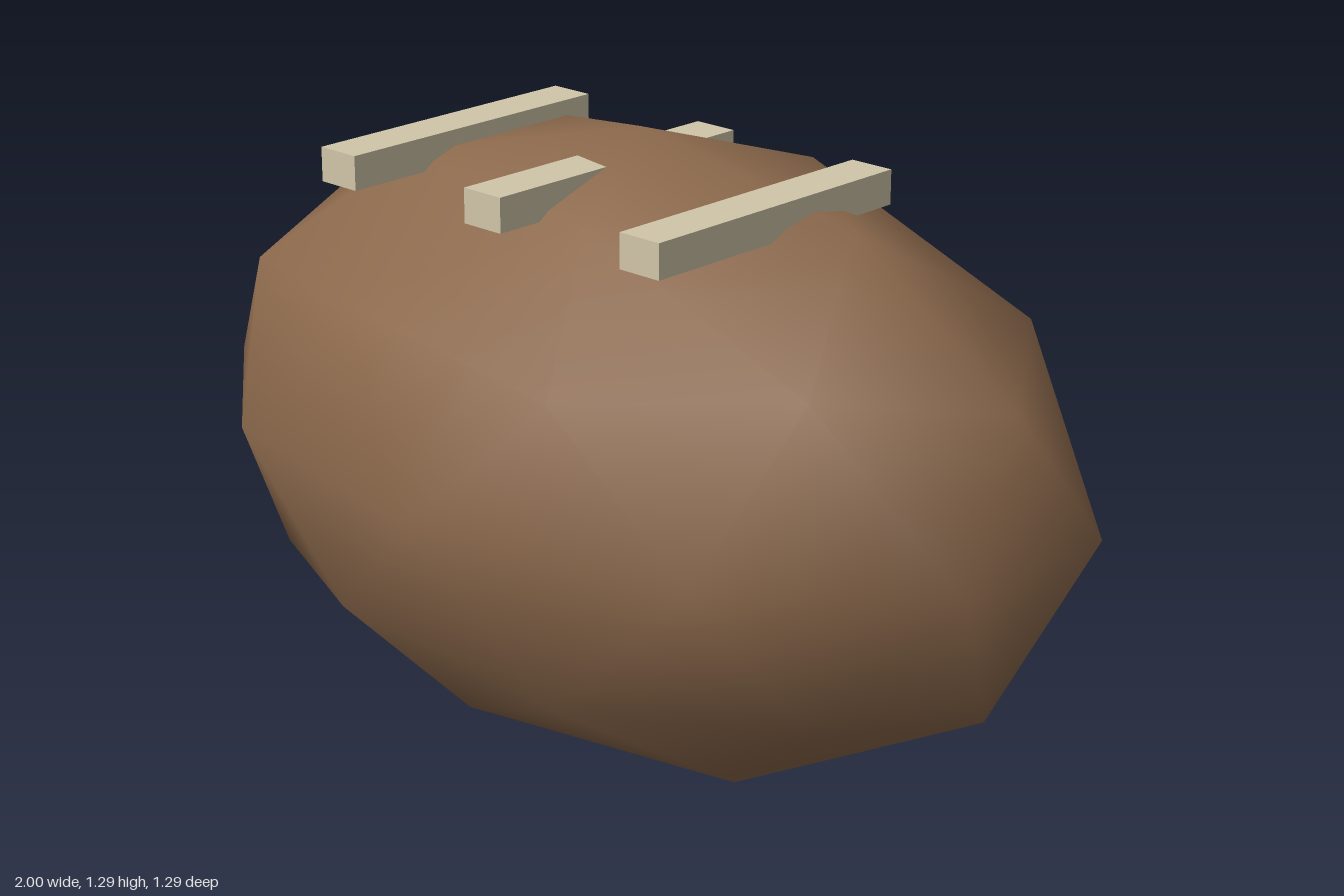
import * as THREE from 'three';

const brown = new THREE.MeshStandardMaterial({ color: 0x8c694c });
brown.name = 'brown leather';
const cream = new THREE.MeshStandardMaterial({ color: 0xd0c5a8 });
cream.name = 'cream lace';

// Icosahedron standing on a vertex, split once: a smooth 42-point ball
function createBall() {
  const verts = [0, 1, 0];
  const faces = [];
  const h = 1 / Math.sqrt(5), r = 2 * h;
  for (const [y, offset] of [[h, 0], [-h, Math.PI / 5]]) {
    for (let k = 0; k < 5; k++) {
      const a = offset + (k * 2 * Math.PI) / 5;
      verts.push(r * Math.cos(a), y, r * Math.sin(a));
    }
  }
  verts.push(0, -1, 0);
  for (let k = 0; k < 5; k++) {
    const next = (k + 1) % 5, prev = (k + 4) % 5;
    const upper = 1 + k, lower = 6 + k;
    faces.push(0, 1 + next, upper);
    faces.push(upper, 1 + next, lower);
    faces.push(lower, 6 + prev, upper);
    faces.push(11, lower, 6 + next);
  }
  return new THREE.PolyhedronGeometry(verts, faces, 1, 1);
}

export function createModel() {
  const group = new THREE.Group();
  group.name = 'ball';

  // Elongated leather body
  const geometry = createBall();
  geometry.scale(1.0515, 0.647, 0.647);
  const body = new THREE.Mesh(geometry, brown);
  body.name = 'body';
  body.position.y = 0.647;
  group.add(body);

  // Three lace bars across the top
  const laceGeometry = new THREE.BoxGeometry(0.097, 0.07, 0.647);
  for (const x of [-0.405, 0, 0.405]) {
    const lace = new THREE.Mesh(laceGeometry, cream);
    lace.name = 'lace';
    lace.position.set(x, 1.215, 0.101);
    group.add(lace);
  }
  return group;
}
